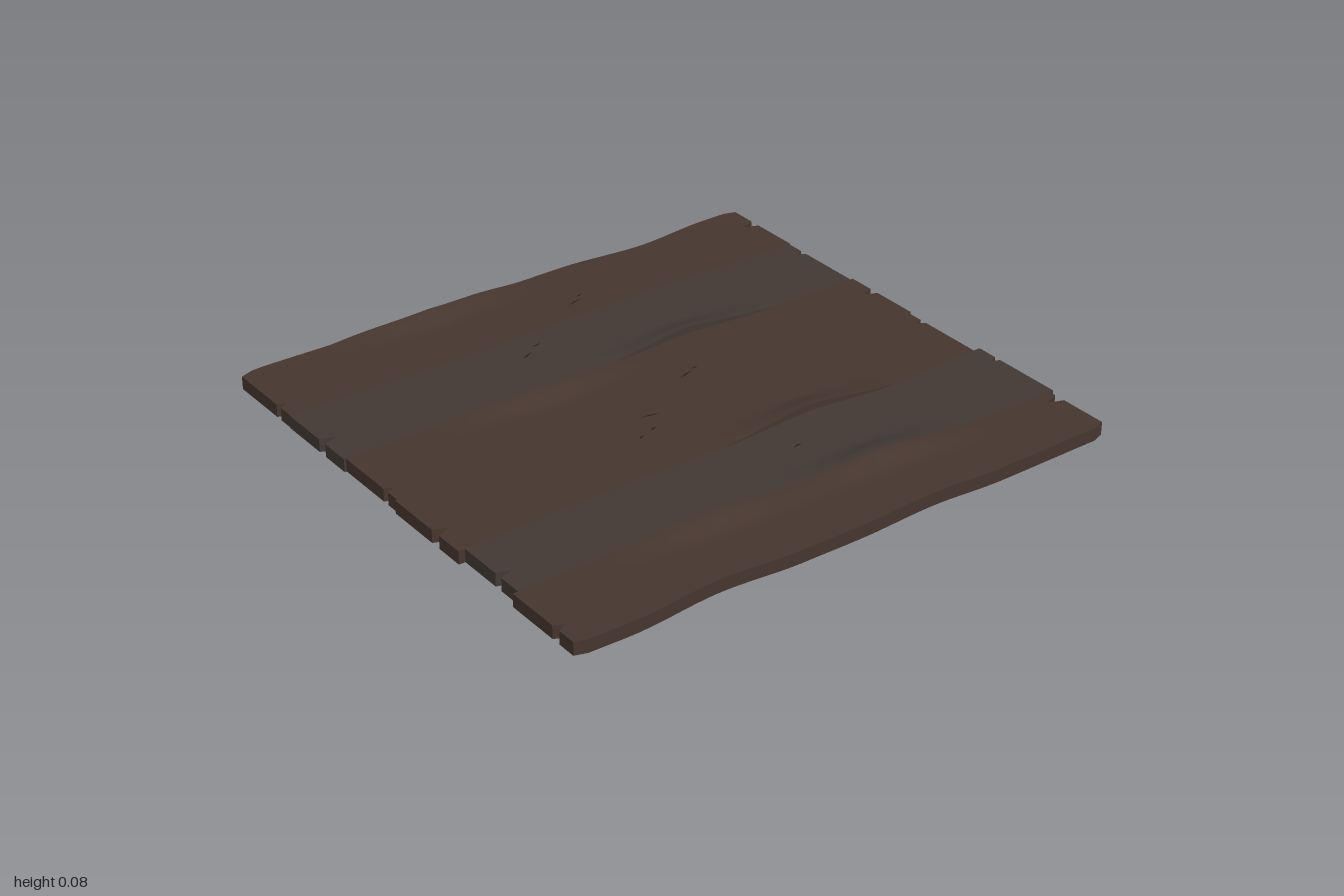
import * as THREE from 'three';
import { toCreasedNormals } from 'three/addons/utils/BufferGeometryUtils.js';

const TOP = 0.053, BOTTOM = 0.008;

// Seams between planks, as [z, x] points; the first and last are the outer edges
const seams = [
  [[-1, -0.91], [-0.95, -0.93], [-0.85, -0.93], [-0.56, -0.905], [-0.25, -0.93], [0.05, -0.927], [0.3, -0.905], [0.6, -0.925], [0.93, -0.93], [1, -0.91]],
  [[-1, -0.61], [-0.3, -0.62], [0.3, -0.6], [1, -0.61]],
  [[-1, -0.28], [-0.6, -0.28], [-0.3, -0.302], [0, -0.285], [0.3, -0.265], [0.6, -0.29], [1, -0.285]],
  [[-1, 0.015], [-0.3, 0], [0.3, 0.005], [1, 0.005]],
  [[-1, 0.335], [-0.6, 0.35], [-0.3, 0.322], [0, 0.34], [0.5, 0.335], [1, 0.345]],
  [[-1, 0.675], [-0.6, 0.67], [-0.3, 0.65], [0, 0.64], [0.3, 0.628], [0.6, 0.61], [1, 0.615]],
  [[-1, 0.905], [-0.94, 0.922], [-0.55, 0.925], [-0.3, 0.91], [0, 0.922], [0.2, 0.92], [0.48, 0.9], [0.8, 0.924], [0.95, 0.92], [1, 0.905]],
];

// Ends, end notches [x, depth] and lifted edges [side, z] of each plank
const planks = [
  { back: -0.98, front: 0.99, notchBack: [-0.8, 0.05], notchFront: [-0.68, 0.03], lifts: [[0, 0.3]] },
  { back: -0.975, front: 0.992, notchBack: [-0.53, 0.025], notchFront: [-0.41, 0.05], lifts: [[1, -0.3]], grey: true },
  { back: -0.985, front: 0.985, notchBack: [-0.17, 0.048], notchFront: [-0.05, 0.03], lifts: [[0, 0.3]] },
  { back: -0.975, front: 0.992, notchBack: [0.09, 0.025], notchFront: [0.22, 0.05], lifts: [[1, -0.3]] },
  { back: -1, front: 0.97, notchBack: [0.42, 0.025], notchFront: [0.55, 0.05], lifts: [[1, -0.3]], grey: true },
  { back: -0.985, front: 0.988, notchBack: [0.72, 0.055], notchFront: [0.84, 0.03], lifts: [[0, 0.3], [0, -0.3]] },
];

// Smooth interpolation along a seam
function seamX(points, z) {
  let i = 0;
  while (i < points.length - 2 && z > points[i + 1][0]) i++;
  const [z0, x0] = points[i], [z1, x1] = points[i + 1];
  const t = THREE.MathUtils.clamp((z - z0) / (z1 - z0), 0, 1);
  return x0 + (x1 - x0) * t * t * (3 - 2 * t);
}

// Rounded tent that fades to zero at the given reach
const fade = (d, reach) => 0.5 + 0.5 * Math.cos(Math.PI * Math.min(Math.abs(d) / reach, 1));

function plankGeometry(plank, left, right) {
  // Columns across the plank, with extra ones at the notches
  const x0 = left[0][1], width = right[0][1] - x0;
  const cols = [];
  for (let i = 0; i <= 16; i++) cols.push(i / 16);
  const notches = [plank.notchBack, plank.notchFront].map(([x, depth]) => {
    const u = (x - x0) / width, half = (0.006 + depth * 0.25) / width;
    cols.push(u - half, u, u + half);
    return { u, half, depth };
  });
  cols.sort((a, b) => a - b);
  const cut = ({ u, half, depth }, v) => depth * Math.max(0, 1 - Math.abs(v - u) / half);

  const nx = cols.length - 1, nz = 48;
  const geo = new THREE.BoxGeometry(1, 1, 1, nx, 1, nz);
  const pos = geo.attributes.position;
  for (let i = 0; i < pos.count; i++) {
    const u = cols[Math.round((pos.getX(i) + 0.5) * nx)];
    const row = Math.round((pos.getZ(i) + 0.5) * nz);
    let z = THREE.MathUtils.lerp(plank.back, plank.front, row / nz);
    const seamZ = z;
    // Notches bite into the end rows and compress those just behind them
    z += cut(notches[0], u) * Math.max(0, 1 - row / 4);
    z -= cut(notches[1], u) * Math.max(0, 1 - (nz - row) / 4);
    const xl = seamX(left, seamZ), xr = seamX(right, seamZ);
    const x = THREE.MathUtils.lerp(xl, xr, u);
    let y;
    if (pos.getY(i) > 0) {
      y = TOP;
      for (const [side, lz] of plank.lifts) {
        const along = Math.max(0, 1 - Math.abs(z - lz) / 0.36);
        y += 0.026 * along * fade(side ? xr - x : x - xl, 0.1);
      }
    } else {
      // Shallow sag on the underside
      y = BOTTOM - 0.008 * fade(x - xl, 0.07) * Math.max(fade(z - 0.2, 0.35), fade(z + 0.2, 0.35));
    }
    pos.setXYZ(i, x, y, z);
  }
  return toCreasedNormals(geo, 0.6);
}

export function createModel() {
  const group = new THREE.Group();
  group.name = 'plankPanel';
  const brown = new THREE.MeshStandardMaterial({ color: 0x46362f });
  const grey = new THREE.MeshStandardMaterial({ color: 0x423934 });
  const dark = new THREE.MeshStandardMaterial({ color: 0x1c1512 });

  planks.forEach((plank, i) => {
    const mesh = new THREE.Mesh(plankGeometry(plank, seams[i], seams[i + 1]), plank.grey ? grey : brown);
    mesh.name = 'plank' + (i + 1);
    group.add(mesh);
  });

  // Slim surface cracks, as [x, z, length, turn]
  const cracks = [
    [-0.7, -0.14, 0.07, 0.25], [-0.73, -0.18, 0.03, 0.1], [-0.49, 0.19, 0.05, 0.4], [-0.53, 0.13, 0.04, 0.2],
    [-0.09, -0.14, 0.07, 0.3], [-0.11, -0.19, 0.03, 0.1], [0.05, 0.1, 0.07, -0.2], [0.14, 0.2, 0.03, 0.5], [0.12, 0.14, 0.03, 0.3],
    [0.46, -0.15, 0.04, 0.2],
  ];
  const sliver = new THREE.OctahedronGeometry(0.5);
  for (const [x, z, length, turn] of cracks) {
    const crack = new THREE.Mesh(sliver, dark);
    crack.name = 'crack';
    crack.scale.set(0.005, 0.002, length);
    crack.position.set(x, TOP, z);
    crack.rotation.y = turn;
    group.add(crack);
  }
  return group;
}
